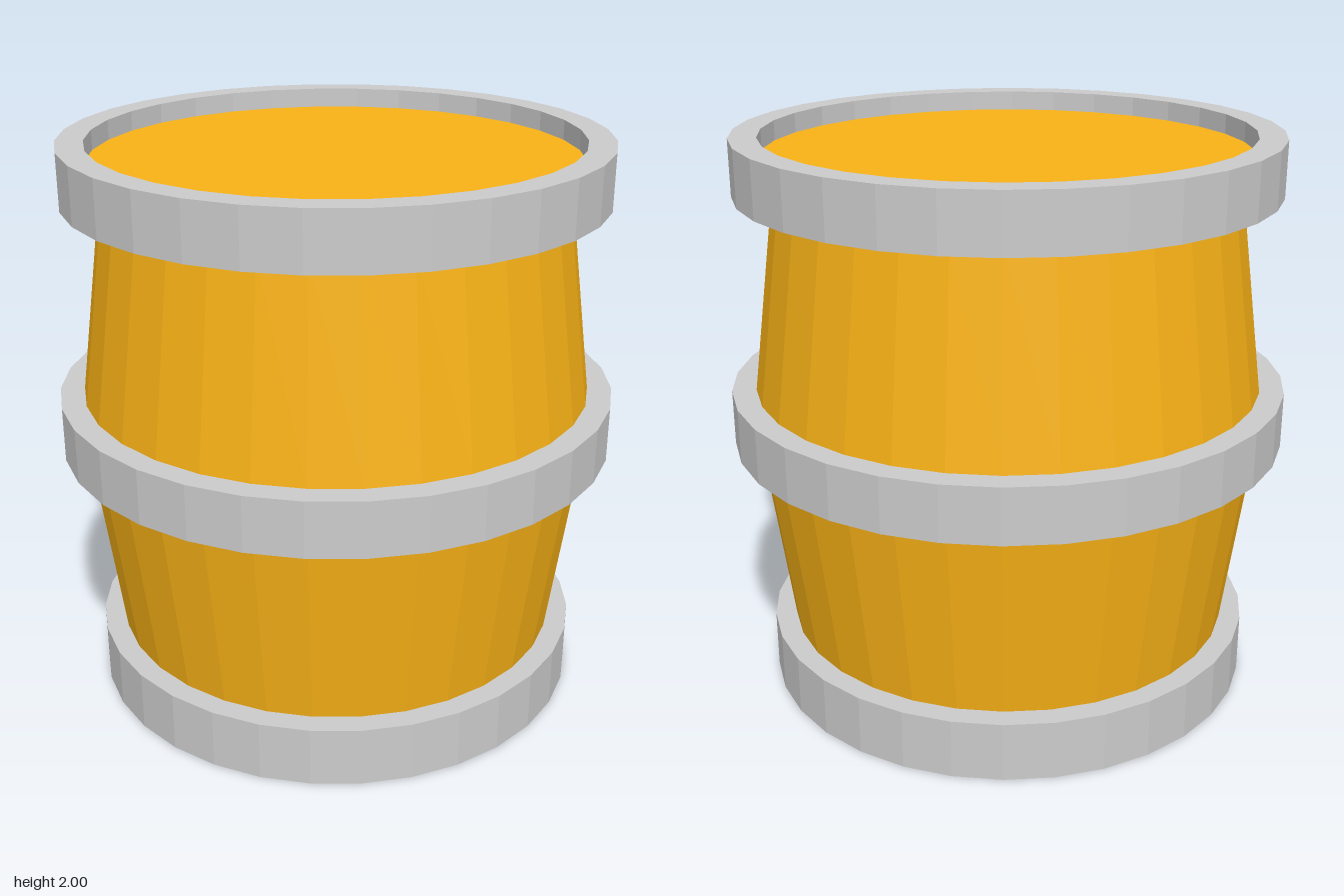
import * as THREE from 'three';

const SIDES = 32;

export function createModel() {
  const barrel = new THREE.Group();
  barrel.name = 'barrel';

  const wood = new THREE.MeshStandardMaterial({ color: 0xf9b216, flatShading: true });
  const metal = new THREE.MeshStandardMaterial({ color: 0xcccccc, flatShading: true });

  const add = (name, geometry, material) => {
    const mesh = new THREE.Mesh(geometry, material);
    mesh.name = name;
    barrel.add(mesh);
    return mesh;
  };

  // Turn a profile of [radius, height] points, listed bottom to top on the outside
  const turn = (profile) =>
    new THREE.LatheGeometry(profile.map(([r, y]) => new THREE.Vector2(r, y)), SIDES);

  // Closed hoop with a rectangular section
  const hoop = (name, inner, outer, bottom, top) =>
    add(name, turn([
      [inner, bottom], [outer, bottom], [outer, top], [inner, top], [inner, bottom],
    ]), metal);

  // Flat round end, facing up or down
  const disc = (name, radius, y, up) => {
    const mesh = add(name, new THREE.CircleGeometry(radius, SIDES), wood);
    mesh.rotation.x = up ? -Math.PI / 2 : Math.PI / 2;
    mesh.position.y = y;
  };

  // Staves, widest at the middle hoop
  add('staves', turn([[0.805, 0.2], [0.9, 0.92], [0.9, 1.115], [0.805, 1.82]]), wood);

  // Hoops
  hoop('bottomHoop', 0.79, 0.885, 0.001, 0.215);
  hoop('middleHoop', 0.89, 0.985, 0.92, 1.115);
  hoop('topHoop', 0.845, 0.94, 1.805, 2);

  // Underside of the top hoop, closing the gap to the staves
  const ledge = add('topHoopLedge', new THREE.RingGeometry(0.79, 0.85, SIDES), metal);
  ledge.rotation.x = Math.PI / 2;
  ledge.position.y = 1.805;

  // Recessed lid and full-width base
  disc('lid', 0.845, 1.93, true);
  disc('base', 0.885, 0, false);

  return barrel;
}
